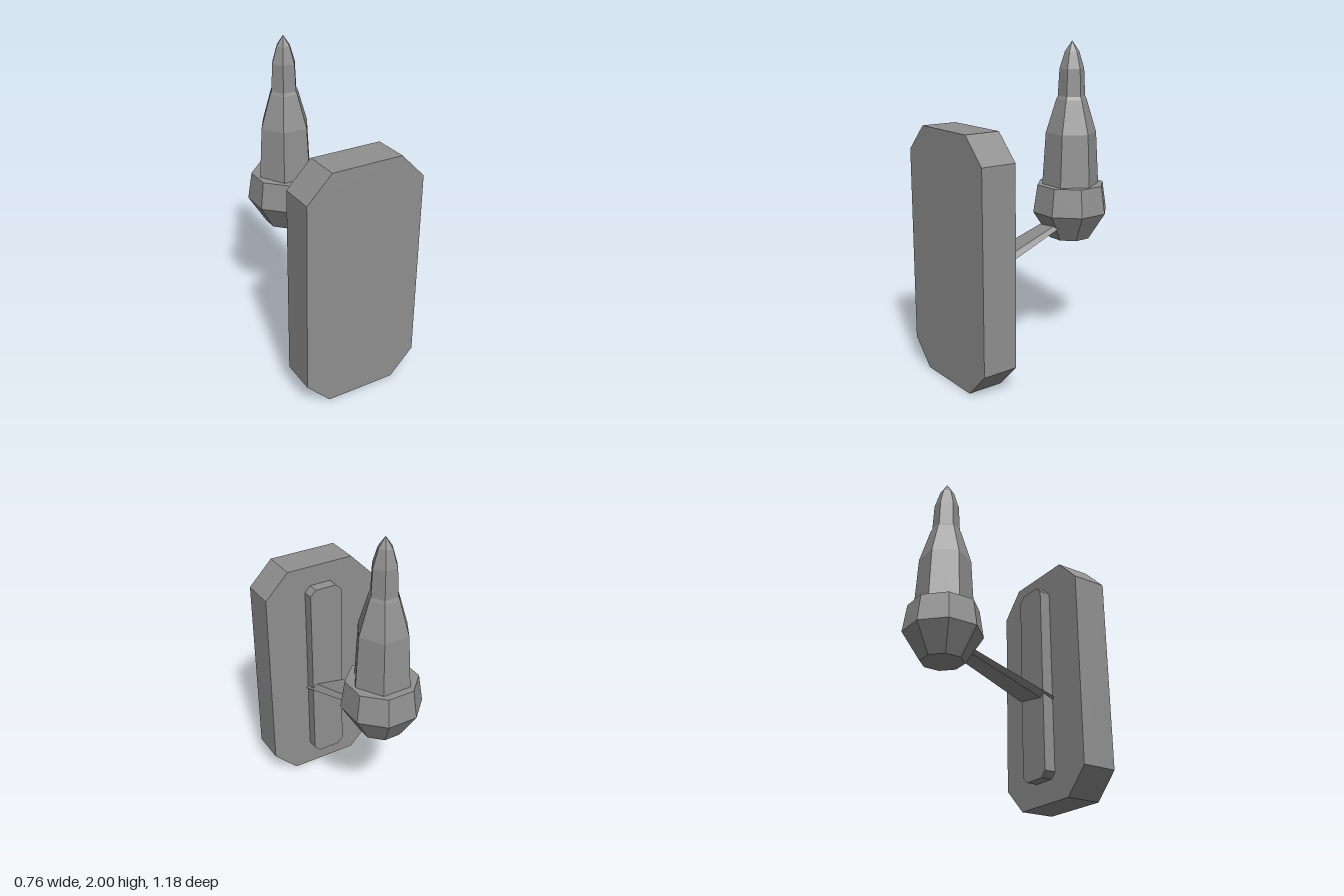
import * as THREE from 'three';

const grey = new THREE.MeshStandardMaterial({ color: 0x909090, flatShading: true });
grey.name = 'grey';

const lerp = THREE.MathUtils.lerp;

function mesh(name, geometry) {
  const m = new THREE.Mesh(geometry, grey);
  m.name = name;
  return m;
}

// Upright slab with four cut corners, from z0 (back) to z1 (front)
function chamferedPlate(name, halfWidth, y0, y1, cutX, cutY, z0, z1) {
  const inner = halfWidth - cutX;
  const shape = new THREE.Shape([
    [-inner, y0], [inner, y0], [halfWidth, y0 + cutY], [halfWidth, y1 - cutY],
    [inner, y1], [-inner, y1], [-halfWidth, y1 - cutY], [-halfWidth, y0 + cutY],
  ].map(([x, y]) => new THREE.Vector2(x, y)));
  const geometry = new THREE.ExtrudeGeometry(shape, { depth: z1 - z0, bevelEnabled: false });
  geometry.translate(0, 0, z0);
  return mesh(name, geometry);
}

// Faceted turned part; profile is [radius, height] from bottom to top
function turned(name, profile, sides, startAngle) {
  const points = profile.map(([r, y]) => new THREE.Vector2(r, y));
  const m = mesh(name, new THREE.LatheGeometry(points, sides, startAngle));
  m.position.z = -0.36;
  return m;
}

// Four-sided skewed bar that tapers as it rises from the wall plate to the cup
function armGeometry() {
  const geometry = new THREE.CylinderGeometry(1, 1, 1, 4, 1).rotateX(Math.PI / 2);
  const p = geometry.attributes.position;
  for (let i = 0; i < p.count; i++) {
    const x = p.getX(i), y = p.getY(i), t = 0.5 - p.getZ(i);
    p.setXYZ(i,
      lerp(0.125, 0.083, t) * (x + 0.68 * y),
      lerp(0.643, 0.86, t) + lerp(0.034, 0.018, t) * y,
      lerp(0.365, -0.25, t));
  }
  geometry.computeVertexNormals();
  return geometry;
}

export function createModel() {
  const group = new THREE.Group();
  group.name = 'wallLamp';

  // Wall mounting
  group.add(chamferedPlate('wallPlate', 0.38, 0, 1.53, 0.155, 0.158, 0.363, 0.588));
  group.add(chamferedPlate('raisedPanel', 0.11, 0.138, 1.4, 0.038, 0.038, 0.29, 0.363));
  group.add(mesh('arm', armGeometry()));

  // Eight-sided cup
  group.add(turned('cup', [
    [0, 0.747], [0.135, 0.747], [0.247, 0.923], [0.22, 1.1], [0, 1.1],
  ], 8, Math.PI / 8));

  // Six-sided candle shade with pointed tip
  group.add(turned('candle', [
    [0.183, 1.09], [0.162, 1.43], [0.097, 1.64], [0.087, 1.66],
    [0.078, 1.83], [0.045, 1.935], [0, 2],
  ], 6, Math.PI / 2));

  return group;
}
